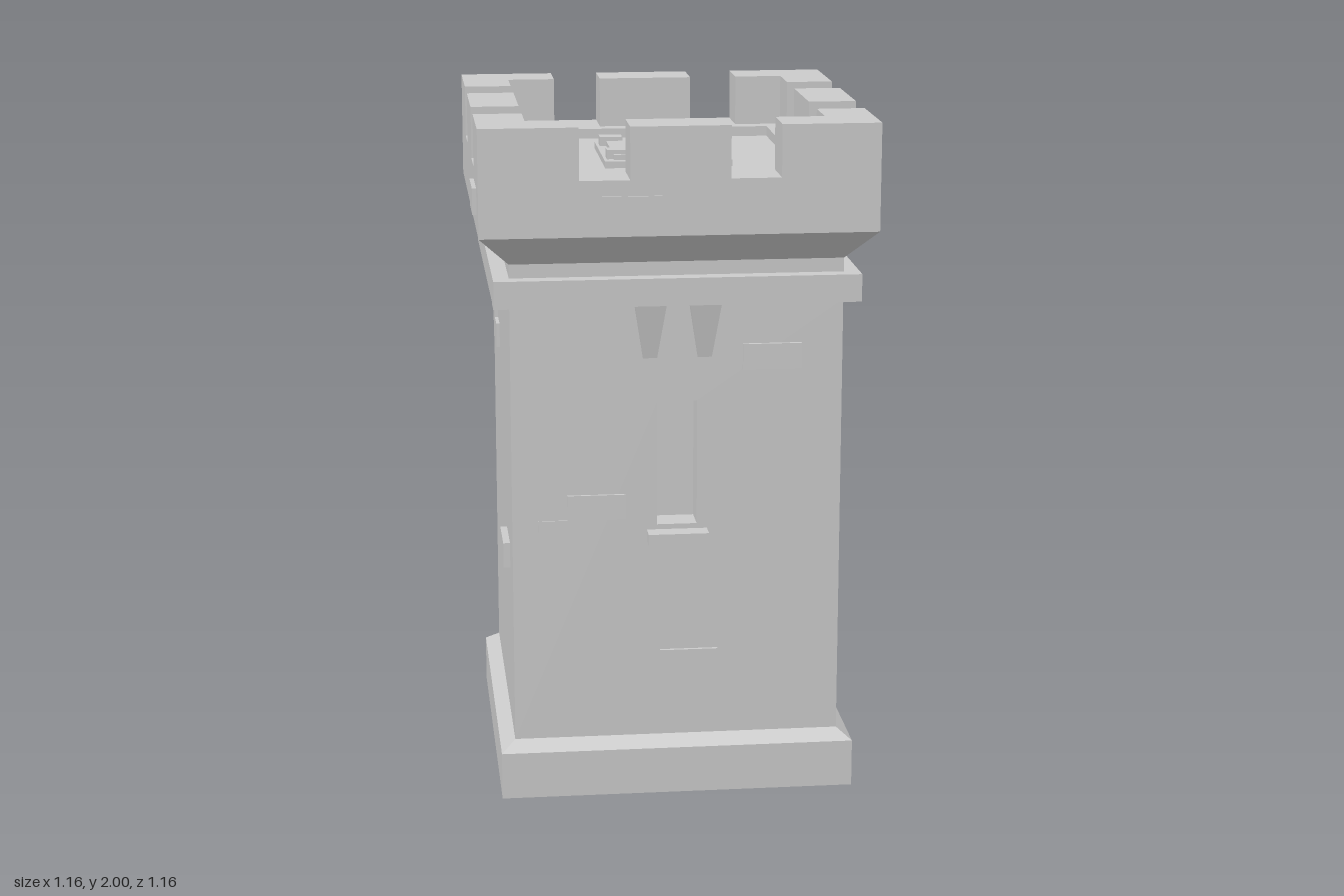
import * as THREE from 'three';

const material = new THREE.MeshStandardMaterial({ color: 0xcccccc, flatShading: true, side: THREE.DoubleSide });

export function createModel() {
  const tower = new THREE.Group();
  tower.name = 'tower';

  function add(name, geometry, parent = tower) {
    const mesh = new THREE.Mesh(geometry, material);
    mesh.name = name;
    parent.add(mesh);
    return mesh;
  }

  // Box given by its limits on each axis
  function block(name, [x0, x1], [y0, y1], [z0, z1], parent) {
    const mesh = add(name, new THREE.BoxGeometry(x1 - x0, y1 - y0, z1 - z0), parent);
    mesh.position.set((x0 + x1) / 2, (y0 + y1) / 2, (z0 + z1) / 2);
    return mesh;
  }

  // Square shell from [half width, height] pairs
  function squareShell(name, profile) {
    const points = profile.map(([r, y]) => new THREE.Vector2(r * Math.SQRT2, y));
    return add(name, new THREE.LatheGeometry(points, 4, Math.PI / 4));
  }

  function rectangle(target, x0, x1, y0, y1) {
    target.moveTo(x0, y0).lineTo(x1, y0).lineTo(x1, y1).lineTo(x0, y1).closePath();
    return target;
  }

  const W = 0.48;   // half width of the body
  const P = 0.567;  // half width of the parapet

  // Hollow plinth, open underneath
  squareShell('plinth', [[0.522, 0], [0.522, 0.14], [W, 0.17]]);

  // Ledge, flared parapet and sunken roof
  squareShell('parapet', [
    [W, 1.48], [0.526, 1.48], [0.526, 1.56], [W, 1.56], [W, 1.6], [P, 1.69],
    [P, 1.85], [0.377, 1.85], [0.377, 1.82], [0, 1.82],
  ]);

  // One group per side, each turned so that its wall faces local +z
  const sides = ['front', 'right', 'back', 'left'].map((label, i) => {
    const side = new THREE.Group();
    side.name = label + 'Side';
    side.rotation.y = i * Math.PI / 2;
    tower.add(side);

    const wall = rectangle(new THREE.Shape(), -W, W, 0.17, 1.48);
    if (i === 0) wall.holes.push(rectangle(new THREE.Path(), -0.058, 0.058, 0.82, 1.19));
    add('wall', new THREE.ShapeGeometry(wall), side).position.z = W;

    // Middle merlon
    block('merlon', [-0.142, 0.142], [1.85, 2], [P - 0.14, P], side);

    // L-shaped corner merlon
    const corner = new THREE.Shape();
    corner.moveTo(P, -P).lineTo(P, -0.285).lineTo(P - 0.14, -0.285).lineTo(P - 0.14, 0.14 - P)
      .lineTo(0.285, 0.14 - P).lineTo(0.285, -P).closePath();
    const merlon = add('cornerMerlon', new THREE.ExtrudeGeometry(corner, { depth: 0.15, bevelEnabled: false }), side);
    merlon.rotation.x = -Math.PI / 2;
    merlon.position.y = 1.85;
    return side;
  });

  // Window recess, a box without its outer face
  const recess = new THREE.BoxGeometry(0.116, 0.37, 0.09);
  const kept = Array.from(recess.index.array).filter((_, i) => i < 24 || i >= 30);
  recess.setIndex(kept);
  recess.clearGroups();
  add('windowRecess', recess, sides[0]).position.set(0, 1.005, W - 0.045);
  block('windowSill', [-0.088, 0.088], [0.77, 0.805], [W - 0.02, 0.535], sides[0]);

  // Tapered corbels under the ledge, front and back
  for (const side of [sides[0], sides[2]]) {
    for (const x of [-0.079, 0.079]) {
      const geometry = new THREE.BoxGeometry(0.09, 0.16, 1);
      const pos = geometry.attributes.position;
      for (let i = 0; i < pos.count; i++) {
        const low = pos.getY(i) < 0;
        if (low) pos.setX(i, pos.getX(i) * 0.45);
        pos.setZ(i, pos.getZ(i) < 0 ? W - 0.01 : low ? 0.488 : 0.516);
      }
      add('corbel', geometry, side).position.set(x, 1.4, 0);
    }
  }

  // Raised bricks per side: [centre along the wall, bottom, outer face]
  const bricks = [
    [[0.275, 1.28, 0.49], [0.035, 0.36, 0.49], [-0.235, 0.84, 0.488], [-0.32, 0.765, 0.484], [-0.137, 1.73, 0.573]],
    [[0.135, 1.19, 0.49], [-0.045, 0.485, 0.49], [-0.13, 0.41, 0.49], [-0.19, 1.743, 0.579]],
    [[0.355, 1.23, 0.487], [-0.295, 0.885, 0.487], [-0.21, 0.81, 0.492], [0.06, 0.38, 0.487], [-0.365, 1.74, 0.583]],
    [[-0.295, 1.295, 0.49], [-0.205, 1.22, 0.49], [0.245, 0.655, 0.5], [0.37, 1.74, 0.579]],
  ];
  bricks.forEach((list, i) => list.forEach(([u, y, out]) =>
    block('brick', [u - 0.085, u + 0.085], [y, y + 0.075], [out - 0.04, out], sides[i])));

  // Roof hatch with hinges and handle
  block('hatchFrame', [-0.179, 0.195], [1.81, 1.84], [-0.19, 0.185]);
  block('hatchDoor', [-0.151, 0.167], [1.83, 1.855], [-0.162, 0.158]);
  for (const z of [-0.127, 0.12]) block('hatchHinge', [-0.17, -0.102], [1.83, 1.867], [z - 0.024, z + 0.024]);
  block('hatchHandle', [0.107, 0.147], [1.85, 1.867], [-0.047, 0.041]);

  tower.position.set(-0.002, 0, 0.004);
  const model = new THREE.Group();
  model.name = 'castleTower';
  model.add(tower);
  return model;
}
